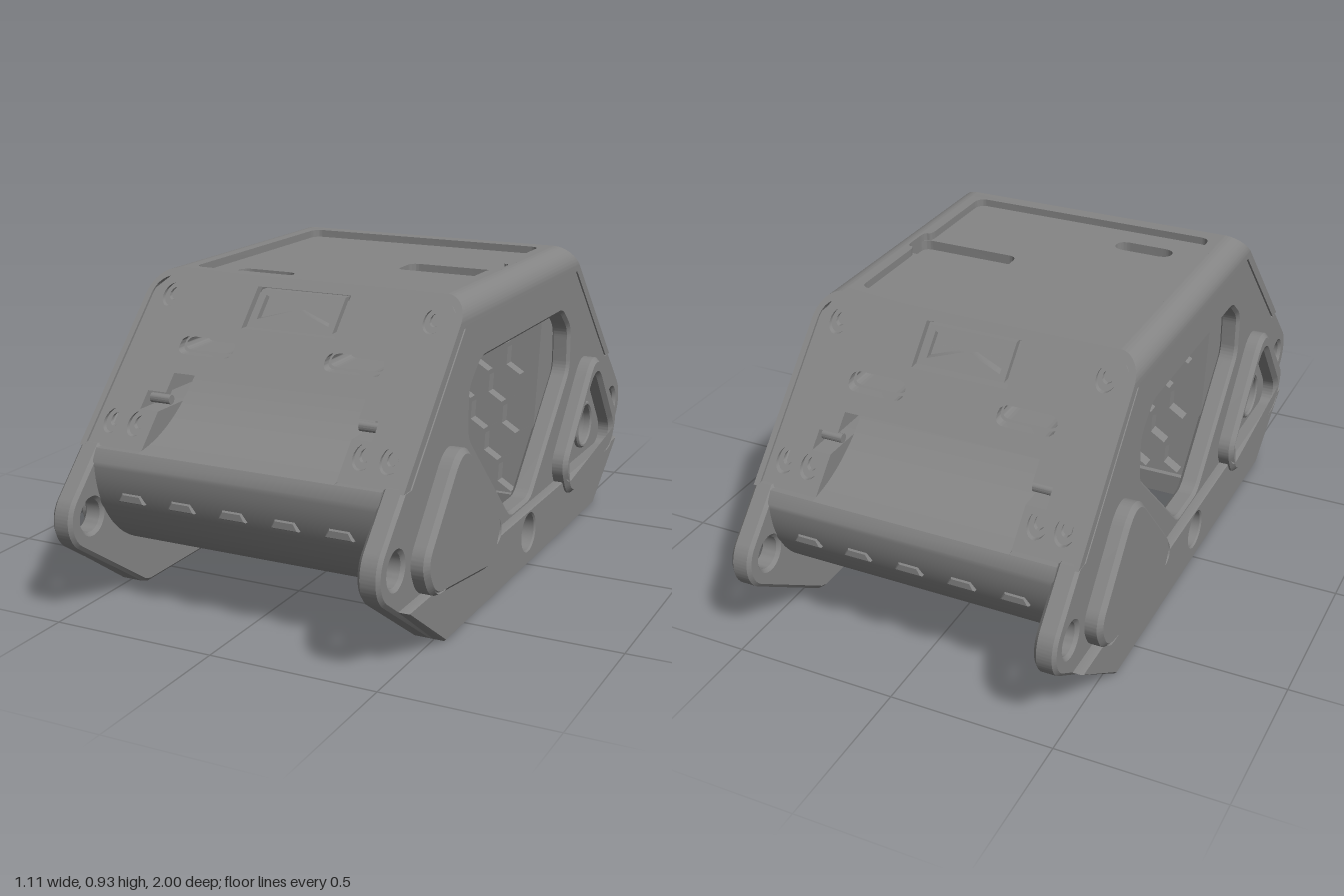
import * as THREE from 'three';
import { toCreasedNormals } from 'three/addons/utils/BufferGeometryUtils.js';

const K = 0.966;    // run of the sloped faces per unit of drop
const TOP = 0.925;  // deck height
const EDGE = 0.43;  // z of the sloped face at deck height
const DEEP = 0.16;  // depth of the face backing
const mat = new THREE.MeshStandardMaterial({ color: 0x858585 });

function add(group, name, geo) {
  const m = new THREE.Mesh(toCreasedNormals(geo, 0.6), mat);
  m.name = name;
  group.add(m);
  return m;
}

// Polygon with softened corners, always counter-clockwise
function roundPoly(pts, r, Type = THREE.Shape) {
  const s = new Type(), v = pts.map(p => new THREE.Vector2(...p)), n = v.length;
  if (THREE.ShapeUtils.isClockWise(v)) v.reverse();
  v.forEach((p, i) => {
    const toward = q => {
      const d = q.clone().sub(p);
      return p.clone().add(d.setLength(Math.min(r, d.length() * 0.48)));
    };
    const a = toward(v[(i + n - 1) % n]), b = toward(v[(i + 1) % n]);
    if (i === 0) s.moveTo(a.x, a.y); else s.lineTo(a.x, a.y);
    s.quadraticCurveTo(p.x, p.y, b.x, b.y);
  });
  s.closePath();
  return s;
}
const poly = pts => new THREE.Shape(pts.map(p => new THREE.Vector2(...p)));
const rect = (x0, x1, y0, y1) => [[x0, y0], [x1, y0], [x1, y1], [x0, y1]];
const circle = (x, y, r, Type = THREE.Path) => new Type().absarc(x, y, r, 0, Math.PI * 2, false);
const mirrored = pts => [...pts, ...pts.map(([x, y]) => [-x, y]).reverse()];
function ring(x, y, outer, inner) {
  const s = circle(x, y, outer, THREE.Shape);
  s.holes.push(circle(x, y, inner));
  return s;
}

// Extrude from w0 to w1, bevels kept inside the outline
function extrude(shape, w0, w1, b = 0) {
  return new THREE.ExtrudeGeometry(shape, {
    depth: w1 - w0 - 2 * b, curveSegments: 16, bevelEnabled: b > 0,
    bevelSize: b, bevelThickness: b, bevelOffset: -b, bevelSegments: 1,
  }).translate(0, 0, w0 + b);
}
// Shape drawn in (z, y), extruded from x0 to x1
const extrudeX = (shape, x0, x1, b = 0) => extrude(shape, -x1, -x0, b).rotateY(-Math.PI / 2);
// Shape drawn in (x, -z), extruded from y0 to y1
const extrudeY = (shape, y0, y1) => extrude(shape, y0, y1).rotateX(-Math.PI / 2);
// Lean a geometry: z shifts with height
function lean(geo, fn) {
  const p = geo.attributes.position;
  for (let i = 0; i < p.count; i++) p.setZ(i, fn(p.getY(i), p.getZ(i)));
  geo.computeVertexNormals();
  return geo;
}
// Shape drawn in (x, y), placed at depths d0..d1 relative to the sloped face
const onFace = (shape, d0, d1) =>
  lean(extrude(shape, d0, d1), (y, z) => z + EDGE + (TOP - y) * K);

function buildSide() {
  const g = new THREE.Group();
  // Main plate with window, end lugs and holes
  const slopeZ = y => EDGE - 0.038 + (TOP - y) * K;
  const s = new THREE.Shape();
  s.moveTo(-0.63, 0); s.lineTo(0.63, 0); s.lineTo(0.66, 0.01);
  s.absarc(0.9, 0.295, 0.1, -0.96, 0.78, false);
  s.lineTo(0.847, 0.493); s.lineTo(slopeZ(0.493), 0.493); s.lineTo(slopeZ(0.855), 0.855);
  s.lineTo(-slopeZ(0.855), 0.855); s.lineTo(-slopeZ(0.493), 0.493); s.lineTo(-0.847, 0.493);
  s.absarc(-0.9, 0.295, 0.1, Math.PI - 0.78, Math.PI + 0.96, false);
  s.lineTo(-0.66, 0.01); s.closePath();
  const window_ = mirrored([[0.085, 0.19], [0.42, 0.525], [0.42, 0.66], [0.34, 0.73]]);
  s.holes.push(roundPoly(window_, 0.03, THREE.Path), circle(0, 0.105, 0.058));
  for (const k of [-1, 1]) s.holes.push(circle(k * 0.9, 0.295, 0.048), circle(k * 0.57, 0.3, 0.064));
  add(g, 'sidePlate', extrudeX(s, 0.44, 0.505, 0.01));

  // Thicker rail along the bottom
  const rail = poly([[-0.64, 0], [0.64, 0], [0.885, 0.175], [-0.885, 0.175]]);
  rail.holes.push(circle(0, 0.105, 0.058));
  add(g, 'bottomRail', extrudeX(rail, 0.46, 0.535, 0.005));

  // Raised triangular bosses with a collar round the bore
  const outer = [[0.34, 0.115], [0.77, 0.175], [0.825, 0.285], [0.605, 0.535], [0.53, 0.535], [0.27, 0.24]];
  const inner = [[0.3, 0.19], [0.75, 0.19], [0.77, 0.25], [0.595, 0.475], [0.545, 0.475], [0.3, 0.23]];
  for (const k of [-1, 1]) {
    const flip = pts => pts.map(([z, y]) => [k * z, y]);
    const boss = roundPoly(flip(outer), 0.055);
    boss.holes.push(roundPoly(flip(inner), 0.04, THREE.Path));
    add(g, 'mountBoss', extrudeX(boss, 0.48, 0.555, 0.014));
    add(g, 'boreCollar', extrudeX(ring(k * 0.57, 0.3, 0.08, 0.064), 0.49, 0.52, 0.005));
  }
  return g;
}

function buildHousing() {
  const g = new THREE.Group();
  const innerZ = y => 0.32 + 0.147 * (y - 0.73);
  const coreZ = y => EDGE - DEEP + (TOP - y) * K;

  // Body with a rounded belly and a cross bore
  const core = new THREE.Shape();
  core.moveTo(innerZ(0.78) + 0.04, 0.78);
  core.lineTo(innerZ(0.13) + 0.04, 0.13);
  core.lineTo(0.57, 0.14);
  core.absarc(0.57, 0.45, 0.31, -Math.PI / 2, 0, false);
  core.lineTo(0.86, 0.485); core.lineTo(coreZ(0.485), 0.485); core.lineTo(coreZ(0.78), 0.78);
  core.closePath();
  core.holes.push(circle(0.57, 0.3, 0.064));
  add(g, 'housingBody', extrudeX(core, -0.445, 0.445));
  add(g, 'lowerCrossbar', extrudeX(poly(rect(0.215, 0.275, 0.07, 0.14)), -0.445, 0.445));

  // Honeycomb panel on the inner side
  const comb = poly(rect(-0.445, 0.445, 0.13, 0.84));
  const r = 0.056, px = 0.11, py = 0.095;
  for (let j = 0; j < 7; j++) {
    const n = 8 - j % 2;
    for (let i = 0; i < n; i++) {
      const cx = (i - (n - 1) / 2) * px, cy = 0.2 + j * py, pts = [];
      for (let a = 0; a < 6; a++) {
        const t = Math.PI / 6 + a * Math.PI / 3;
        pts.push(new THREE.Vector2(cx + r * Math.cos(t), cy + r * Math.sin(t)));
      }
      comb.holes.push(new THREE.Path([...pts, pts[0].clone()]));
    }
  }
  add(g, 'honeycombPanel', lean(extrude(comb, 0, 0.042), (y, z) => z + innerZ(y)));

  // Rim of the sloped face, open at the bottom
  const rim = new THREE.Shape();
  rim.moveTo(-0.505, 0.485); rim.lineTo(-0.487, 0.485); rim.lineTo(-0.487, 0.855);
  rim.absarc(-0.437, 0.855, 0.05, Math.PI, Math.PI / 2, true);
  rim.absarc(0.437, 0.855, 0.05, Math.PI / 2, 0, true);
  rim.lineTo(0.487, 0.485); rim.lineTo(0.505, 0.485);
  rim.absarc(0.435, 0.855, 0.07, 0, Math.PI / 2, false);
  rim.absarc(-0.435, 0.855, 0.07, Math.PI / 2, Math.PI, false);
  add(g, 'faceRim', onFace(rim, -0.04, 0));

  // Face in two layers, both cut by the bay, its side notches and two slots
  const bay = [[0.305, 0.487], [0.305, 0.58], [0.365, 0.58], [0.365, 0.625], [0.305, 0.625], [0.305, 0.672]];
  const faceLayer = (w, top, pad) => {
    const s = poly([[w, 0.487], [w, top - 0.04], [w - 0.04, top], [-w + 0.04, top], [-w, top - 0.04],
      [-w, 0.487], ...bay.map(([x, y]) => [-x, y]), ...[...bay].reverse()]);
    for (const k of [-1, 1]) {
      const slot = rect(0.145 + pad, 0.325 - pad, 0.718 + pad, 0.762 - pad).map(([x, y]) => [k * x, y]);
      s.holes.push(roundPoly(slot, 0.03, THREE.Path));
    }
    return s;
  };
  const front = faceLayer(0.49, 0.905, 0);
  for (const k of [-1, 1]) {
    for (const [x, y] of [[0.42, 0.857], [0.435, 0.547], [0.355, 0.547]]) {
      front.holes.push(circle(k * x, y, 0.03));
      add(g, 'screwSeat', onFace(ring(k * x, y, 0.031, 0.016), -0.037, -0.024));
    }
  }
  front.holes.push(poly(rect(-0.15, 0.15, 0.793, 0.897)));
  add(g, 'facePanel', onFace(front, -0.04, -0.01));
  add(g, 'faceBacking', onFace(faceLayer(0.445, 0.842, 0.006), -DEEP, -0.039));

  // Recessed vent with two triangular openings
  const vent = poly(rect(-0.135, 0.135, 0.803, 0.89));
  for (const k of [-1, 1]) vent.holes.push(poly([[k * 0.115, 0.818], [k * 0.008, 0.847], [k * 0.115, 0.878]]));
  add(g, 'ventPlate', onFace(vent, -0.04, -0.014));

  // Curved floor of the open bay
  const floor = new THREE.Shape();
  floor.moveTo(0.6, 0.48); floor.lineTo(0.86, 0.485); floor.lineTo(0.82, 0.492);
  floor.quadraticCurveTo(0.66, 0.52, 0.525, 0.675);
  floor.lineTo(0.48, 0.675); floor.closePath();
  add(g, 'bayFloor', extrudeX(floor, -0.306, 0.306));
  for (const k of [-1, 1]) {
    const pin = add(g, 'bayPin', new THREE.CylinderGeometry(0.014, 0.014, 0.07, 16).rotateZ(Math.PI / 2));
    pin.position.set(k * 0.335, 0.6, 0.69);
  }

  // Row of small hoods on the belly
  for (let i = -2; i <= 2; i++) {
    const hood = poly([[-0.043, 0.34], [0.043, 0.34], [0.03, 0.366], [-0.03, 0.366]]);
    add(g, 'bellyHood', extrude(hood, 0.84, 0.873, 0.004)).position.x = i * 0.163;
  }
  return g;
}

function buildDeck() {
  const g = new THREE.Group();
  // Deck block with rounded long edges and a trough for the top layers
  const s = poly([[-0.505, 0.84], [0.505, 0.84]]);
  s.absarc(0.435, 0.855, 0.07, 0, Math.PI / 2, false);
  s.lineTo(0.435, 0.872); s.lineTo(-0.435, 0.872);
  s.absarc(-0.435, 0.855, 0.07, Math.PI / 2, Math.PI, false);
  s.closePath();
  add(g, 'deck', lean(extrude(s, -0.39, 0.39), (y, z) => z + Math.sign(z) * (TOP - y) * K));

  // Pocket floor with a finger groove and a slot
  const floor = poly(rect(-0.436, 0.436, -0.405, 0.405));
  floor.holes.push(roundPoly(rect(0.105, 0.43, -0.05, 0.06), 0.03, THREE.Path),
    roundPoly(rect(-0.32, -0.135, -0.3, -0.238), 0.04, THREE.Path));
  add(g, 'pocketFloor', extrudeY(floor, 0.868, 0.902));

  // Raised border round the pocket, notched for the groove
  const border = poly(rect(-0.436, 0.436, -0.392, 0.392));
  border.holes.push(roundPoly([[-0.405, -0.383], [0.405, -0.383], [0.405, -0.05], [0.43, -0.05],
    [0.43, 0.06], [0.405, 0.06], [0.405, 0.383], [-0.405, 0.383]], 0.035, THREE.Path));
  add(g, 'pocketBorder', extrudeY(border, 0.895, TOP));
  return g;
}

export function createModel() {
  const model = new THREE.Group();
  model.name = 'enclosure';
  const place = (part, name, turn) => {
    part.name = name;
    part.rotation.y = turn;
    model.add(part);
  };
  place(buildDeck(), 'topDeck', 0);
  // Sides and housings repeat with a half turn
  place(buildSide(), 'leftSide', 0);
  place(buildSide(), 'rightSide', Math.PI);
  place(buildHousing(), 'frontHousing', 0);
  place(buildHousing(), 'backHousing', Math.PI);
  return model;
}
